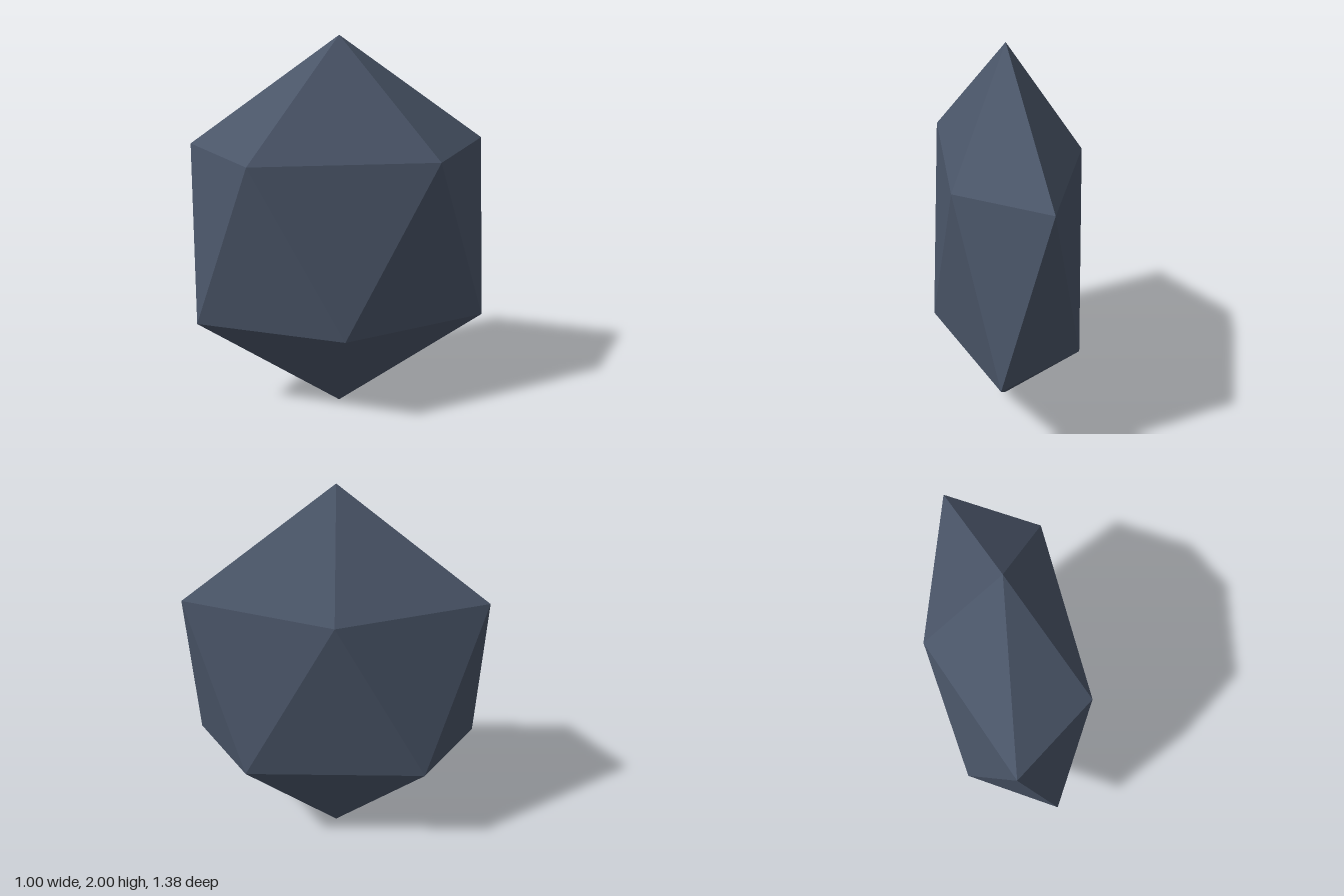
import * as THREE from 'three';

// Squashed, sheared twenty-sided rock: two apexes and two five-point rings.
export function createModel() {
  const group = new THREE.Group();
  group.name = 'rock';

  const stone = new THREE.MeshStandardMaterial({ color: 0x4a5568 });
  stone.name = 'slate stone';
  stone.flatShading = true;

  // Upper ring [x, z], anticlockwise from above; the lower ring is its point mirror
  const ring = [[0.502, -0.23], [0.29, -0.692], [-0.325, -0.2], [-0.49, 0.567], [0.022, 0.551]];
  const upper = ring.map(([x, z]) => [x, 1.447, z]);
  const lower = ring.map((_, i) => {
    const [x, z] = ring[(i + 3) % 5];
    return [-x, 0.553, -z];
  });
  const top = [0, 2, 0];
  const bottom = [0, 0, 0];

  // Cap, zigzag band and base facets
  const corners = [];
  for (let i = 0; i < 5; i++) {
    const j = (i + 1) % 5;
    corners.push(top, upper[i], upper[j]);
    corners.push(upper[i], lower[i], upper[j]);
    corners.push(lower[i], lower[j], upper[j]);
    corners.push(lower[j], lower[i], bottom);
  }

  const geometry = new THREE.BufferGeometry();
  geometry.setAttribute('position', new THREE.Float32BufferAttribute(corners.flat(), 3));
  geometry.computeVertexNormals();

  const body = new THREE.Mesh(geometry, stone);
  body.name = 'rockBody';
  group.add(body);
  return group;
}
